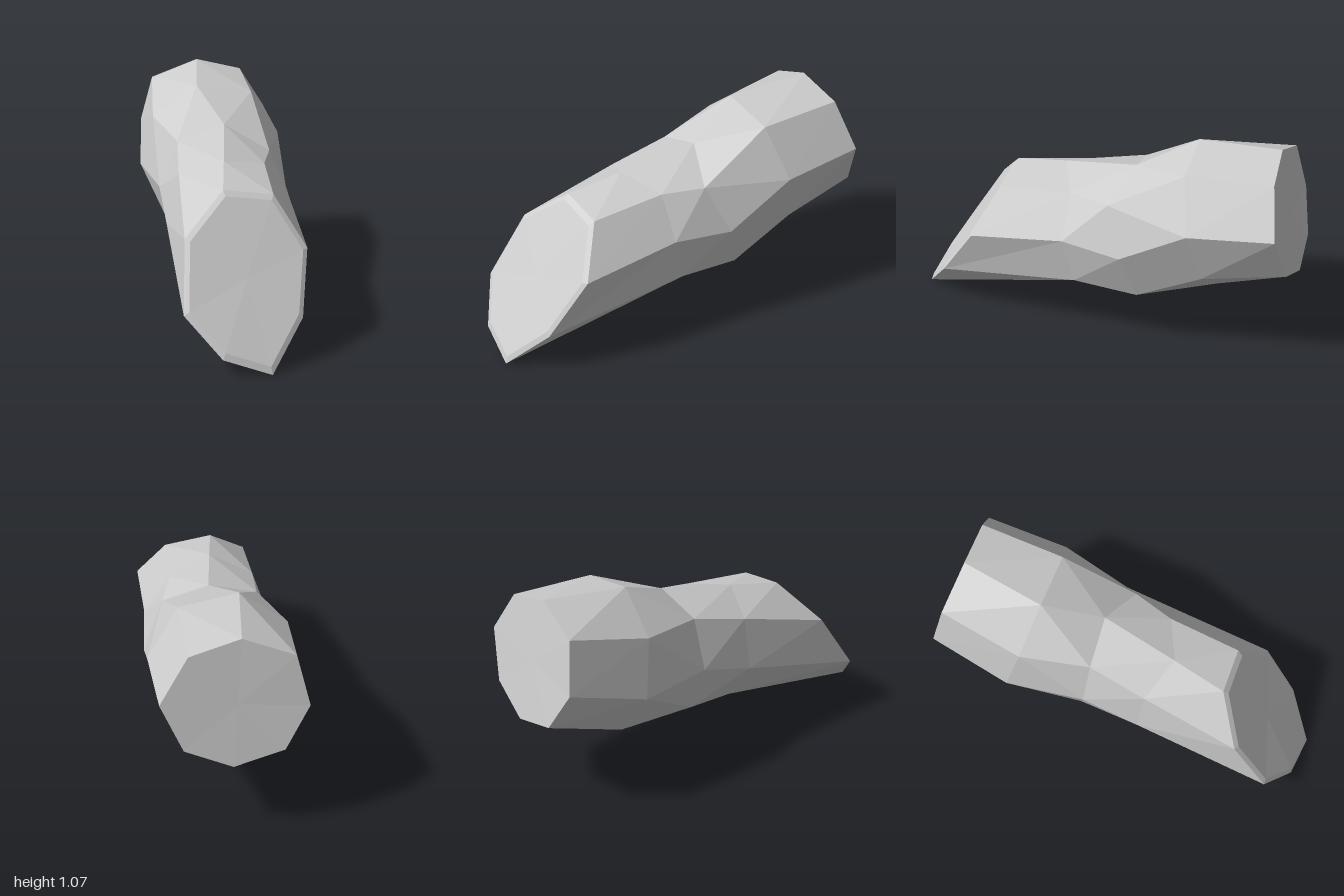
import * as THREE from 'three';

const SIDES = 8;

// Cross-sections from front to back, each clockwise from the top as seen from the front
const frontRim = [
  [0.05, 0.755, 0.54], [0.29, 0.72, 0.49], [0.455, 0.485, 0.59], [0.435, 0.21, 0.79],
  [0.295, 0.0, 0.98], [0.065, 0.08, 1.0], [-0.12, 0.265, 0.92], [-0.125, 0.57, 0.72]];
const foreWaist = [
  [0.045, 0.81, 0.26], [0.245, 0.76, 0.12], [0.38, 0.555, 0.1], [0.35, 0.32, 0.05],
  [0.16, 0.2, 0.13], [-0.1, 0.25, 0.18], [-0.245, 0.47, 0.22], [-0.18, 0.725, 0.22]];
const rearWaist = [
  [0.035, 0.885, -0.14], [0.27, 0.76, -0.1], [0.36, 0.53, -0.21], [0.28, 0.29, -0.27],
  [0.04, 0.215, -0.21], [-0.25, 0.335, -0.12], [-0.3, 0.565, -0.07], [-0.205, 0.81, -0.08]];
const shoulder = [
  [-0.12, 1.025, -0.41], [0.17, 0.975, -0.47], [0.315, 0.73, -0.55], [0.23, 0.46, -0.6],
  [0.0, 0.29, -0.58], [-0.275, 0.33, -0.52], [-0.43, 0.57, -0.45], [-0.355, 0.855, -0.4]];
const backRim = [
  [-0.14, 1.065, -0.84], [0.1, 1.0, -0.9], [0.23, 0.775, -0.97], [0.12, 0.535, -1.0],
  [-0.11, 0.435, -0.985], [-0.35, 0.5, -0.93], [-0.46, 0.71, -0.86], [-0.39, 0.965, -0.82]];

function centreOf(ring) {
  return [0, 1, 2].map((k) => ring.reduce((sum, p) => sum + p[k], 0) / ring.length);
}

// Faces between two neighbouring sections; the diagonal can lean either way
function band(front, back, leanForward) {
  const out = [];
  for (let i = 0; i < SIDES; i++) {
    const j = (i + 1) % SIDES;
    const a = front[i], b = front[j], c = back[j], d = back[i];
    if (leanForward) out.push(a, b, c, a, c, d);
    else out.push(a, b, d, b, c, d);
  }
  return out;
}

// Fan closing a section at its centre
function cap(ring, facesFront) {
  const centre = centreOf(ring);
  return ring.flatMap((p, i) => {
    const q = ring[(i + 1) % SIDES];
    return facesFront ? [centre, q, p] : [centre, p, q];
  });
}

function addMesh(group, name, triangles, material) {
  const geometry = new THREE.BufferGeometry();
  geometry.setAttribute('position', new THREE.Float32BufferAttribute(triangles.flat(), 3));
  geometry.computeVertexNormals(); // unshared corners give flat facets
  const mesh = new THREE.Mesh(geometry, material);
  mesh.name = name;
  group.add(mesh);
}

export function createModel() {
  const group = new THREE.Group();
  group.name = 'facetedStump';
  const grey = new THREE.MeshStandardMaterial({ color: 0xcccccc });
  grey.name = 'lightGrey';

  // Bent eight-sided body
  addMesh(group, 'body', [
    ...band(frontRim, foreWaist, false),
    ...band(foreWaist, rearWaist, false),
    ...band(rearWaist, shoulder, true),
    ...band(shoulder, backRim, false),
  ], grey);

  // Slanted front face with a shallow bevel
  const centre = centreOf(frontRim);
  const normal = [0.26, 0.55, 0.8];
  const inner = frontRim.map((p) => p.map((v, k) => centre[k] + (v - centre[k]) * 0.92 + normal[k] * 0.01));
  addMesh(group, 'frontBevel', band(inner, frontRim, false), grey);
  addMesh(group, 'frontFace', cap(inner, true), grey);

  addMesh(group, 'backFace', cap(backRim, false), grey);
  return group;
}
